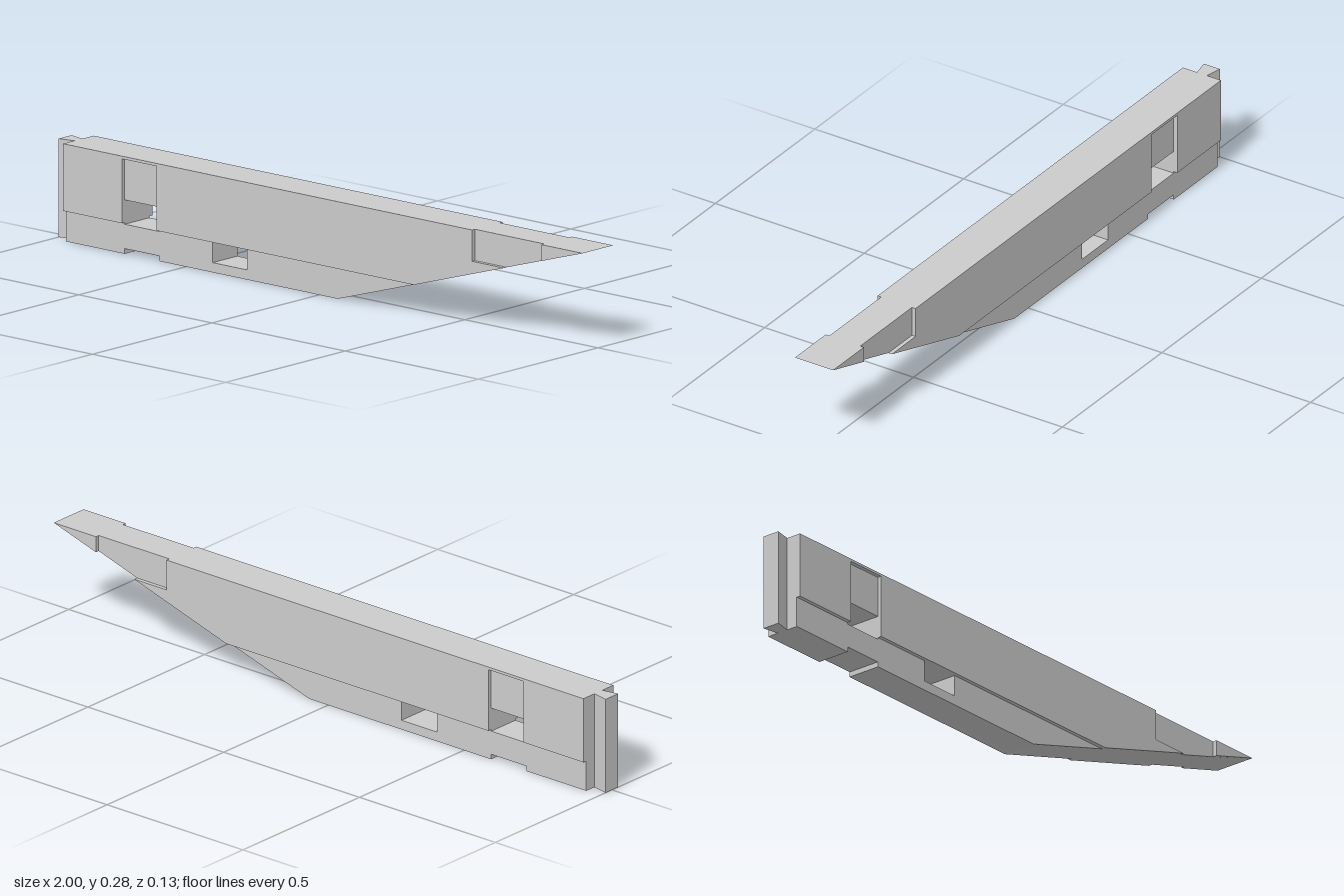
import * as THREE from 'three';

const TOP = 0.283, CORE = 0.052, SKIN = 0.012;
// height of the sloping underside, and its inverse
const slopeX = (y) => 0.07 + (y / TOP) * 0.93;

const outline = (points) => points.map(([x, y]) => new THREE.Vector2(x, y));
const rect = (x0, x1, y0, y1) => outline([[x0, y0], [x0, y1], [x1, y1], [x1, y0]]);

export function createModel() {
  const group = new THREE.Group();
  const material = new THREE.MeshStandardMaterial({ color: 0xcccccc, flatShading: true });

  function addPlate(name, points, holes, depth, z) {
    const shape = new THREE.Shape(outline(points));
    holes.forEach((h) => shape.holes.push(new THREE.Path(h)));
    const geometry = new THREE.ExtrudeGeometry(shape, { depth, bevelEnabled: false });
    geometry.translate(0, 0, z);
    const mesh = new THREE.Mesh(geometry, material);
    mesh.name = name;
    group.add(mesh);
    return mesh;
  }

  // Central slab with two through slots and a shallow notch underneath
  addPlate('core', [
    [-0.95, 0], [-0.73, 0], [-0.73, 0.015], [-0.6, 0.015], [-0.6, 0],
    [0.07, 0], [1, TOP], [-0.95, TOP],
  ], [rect(-0.73, -0.6, 0.085, 0.155), rect(-0.4, -0.27, 0.028, 0.09)], CORE * 2, -CORE);

  // Raised side cheeks, cut away at the tall recess and at the tip recess
  const cheek = [
    [-0.95, 0.09], [-0.73, 0.09], [-0.73, 0.275], [-0.6, 0.275], [-0.6, 0.09],
    [slopeX(0.09), 0.09], [slopeX(0.193), 0.193], [0.585, 0.193], [0.585, TOP], [-0.95, TOP],
  ];
  const tip = [[0.845, 0.236], [1, TOP], [0.845, TOP]];
  for (const [side, z] of [['left', CORE], ['right', -CORE - SKIN]]) {
    const label = side === 'left' ? 'front' : 'back';
    addPlate(label + 'Cheek', cheek, [], SKIN, z);
    addPlate(label + 'TipCheek', tip, [], SKIN, z);
  }

  // Dovetail tongue along the square end
  const tongue = addPlate('dovetail', [
    [-1, -0.027], [-0.95, -0.017], [-0.95, 0.017], [-1, 0.027],
  ], [], TOP, 0);
  tongue.geometry.rotateX(-Math.PI / 2);

  return group;
}
